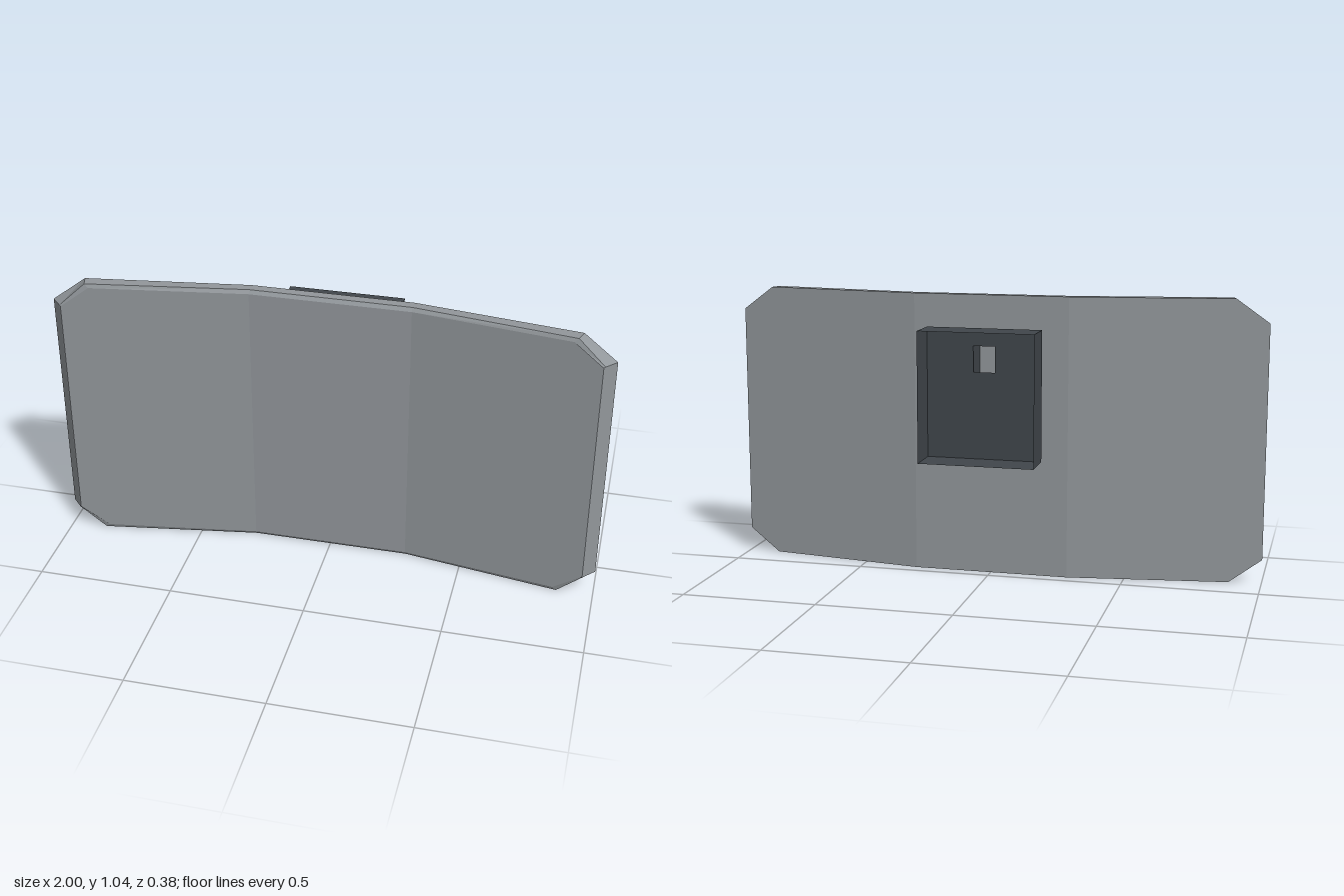
import * as THREE from 'three';

const MID_Y = 0.5225;

// Flat-shaded geometry from a list of quads (each four [x, y, z] corners, counter-clockwise)
function quadGeometry(quads) {
  const pos = [];
  for (const [a, b, c, d] of quads) pos.push(...a, ...b, ...c, ...a, ...c, ...d);
  const g = new THREE.BufferGeometry();
  g.setAttribute('position', new THREE.Float32BufferAttribute(pos, 3));
  g.computeVertexNormals();
  return g;
}

// Clipped-corner outline bent forward at x = +-0.3; runs counter-clockwise seen from the front
function panelRing({ endX, endH, cornerX, cornerH, z0, z1 }) {
  const bend = 0.29;
  const cols = [[-endX, endH], [-cornerX, cornerH], [-bend, cornerH],
    [bend, cornerH], [cornerX, cornerH], [endX, endH]];
  const z = x => z0 + (z1 - z0) * Math.max(0, (Math.abs(x) - bend) / (endX - bend));
  const bottom = cols.map(([x, h]) => [x, MID_Y - h, z(x)]);
  const top = cols.map(([x, h]) => [x, MID_Y + h, z(x)]).reverse();
  return [...bottom, ...top];
}

function panelGeometry() {
  const rings = [
    { endX: 1, endH: 0.435, cornerX: 0.88, cornerH: 0.5225, z0: 0.045, z1: 0.145 }, // back
    { endX: 0.962, endH: 0.435, cornerX: 0.867, cornerH: 0.5225, z0: 0.081, z1: 0.186 }, // rim
    { endX: 0.957, endH: 0.432, cornerX: 0.853, cornerH: 0.509, z0: 0.09, z1: 0.19 }, // front
  ].map(panelRing);
  const quads = [];
  // Rim and bevel
  for (let r = 0; r < 2; r++) {
    for (let i = 0; i < 12; i++) {
      const j = (i + 1) % 12;
      quads.push([rings[r][i], rings[r][j], rings[r + 1][j], rings[r + 1][i]]);
    }
  }
  // Front and back faces, column by column
  const [back, , front] = rings;
  for (let i = 0; i < 5; i++) {
    quads.push([front[i], front[i + 1], front[10 - i], front[11 - i]]);
    quads.push([back[11 - i], back[10 - i], back[i + 1], back[i]]);
  }
  return quadGeometry(quads);
}

// Hollow bracket, open towards the panel and the box
function bracketGeometry() {
  const w = 0.04;
  const profile = [[0.61, 0.045], [0.87, 0.045], [0.87, -0.055], [0.775, -0.055]];
  const L = profile.map(([y, z]) => [w, y, z]);
  const R = profile.map(([y, z]) => [-w, y, z]);
  return quadGeometry([
    [L[0], L[3], L[2], L[1]], // left side
    [R[0], R[1], R[2], R[3]], // right side
    [L[1], L[2], R[2], R[1]], // top
    [L[0], R[0], R[3], L[3]], // sloping underside
  ]);
}

// Four thin walls of the box, open at the back
function boxWallGeometry() {
  const x = 0.213, y0 = 0.455, y1 = 0.935, zf = -0.055, zb = -0.188;
  const loop = [[-x, y0], [x, y0], [x, y1], [-x, y1]];
  return quadGeometry(loop.map(([ax, ay], i) => {
    const [bx, by] = loop[(i + 1) % 4];
    return [[ax, ay, zb], [bx, by, zb], [bx, by, zf], [ax, ay, zf]];
  }));
}

// Front plate of the box with an opening into the bracket
function boxPlateGeometry() {
  const rect = (x, y0, y1) => [[-x, y0], [x, y0], [x, y1], [-x, y1]].map(p => new THREE.Vector2(...p));
  const shape = new THREE.Shape(rect(0.213, 0.455, 0.935));
  shape.holes.push(new THREE.Path(rect(0.04, 0.775, 0.87).reverse()));
  return new THREE.ShapeGeometry(shape).translate(0, 0, -0.055);
}

export function createModel() {
  const panelGrey = new THREE.MeshStandardMaterial({ color: 0x92979b });
  panelGrey.name = 'panelGrey';
  const mountGrey = new THREE.MeshStandardMaterial({ color: 0x40464b, side: THREE.DoubleSide });
  mountGrey.name = 'mountGrey';

  const model = new THREE.Group();
  model.name = 'wallPanel';
  const add = (parent, name, geometry, material) => {
    const mesh = new THREE.Mesh(geometry, material);
    mesh.name = name;
    parent.add(mesh);
  };

  add(model, 'bentPanel', panelGeometry(), panelGrey);

  const mount = new THREE.Group();
  mount.name = 'rearMount';
  add(mount, 'bracket', bracketGeometry(), mountGrey);
  add(mount, 'boxWalls', boxWallGeometry(), mountGrey);
  add(mount, 'boxFrontPlate', boxPlateGeometry(), mountGrey);
  model.add(mount);
  return model;
}
